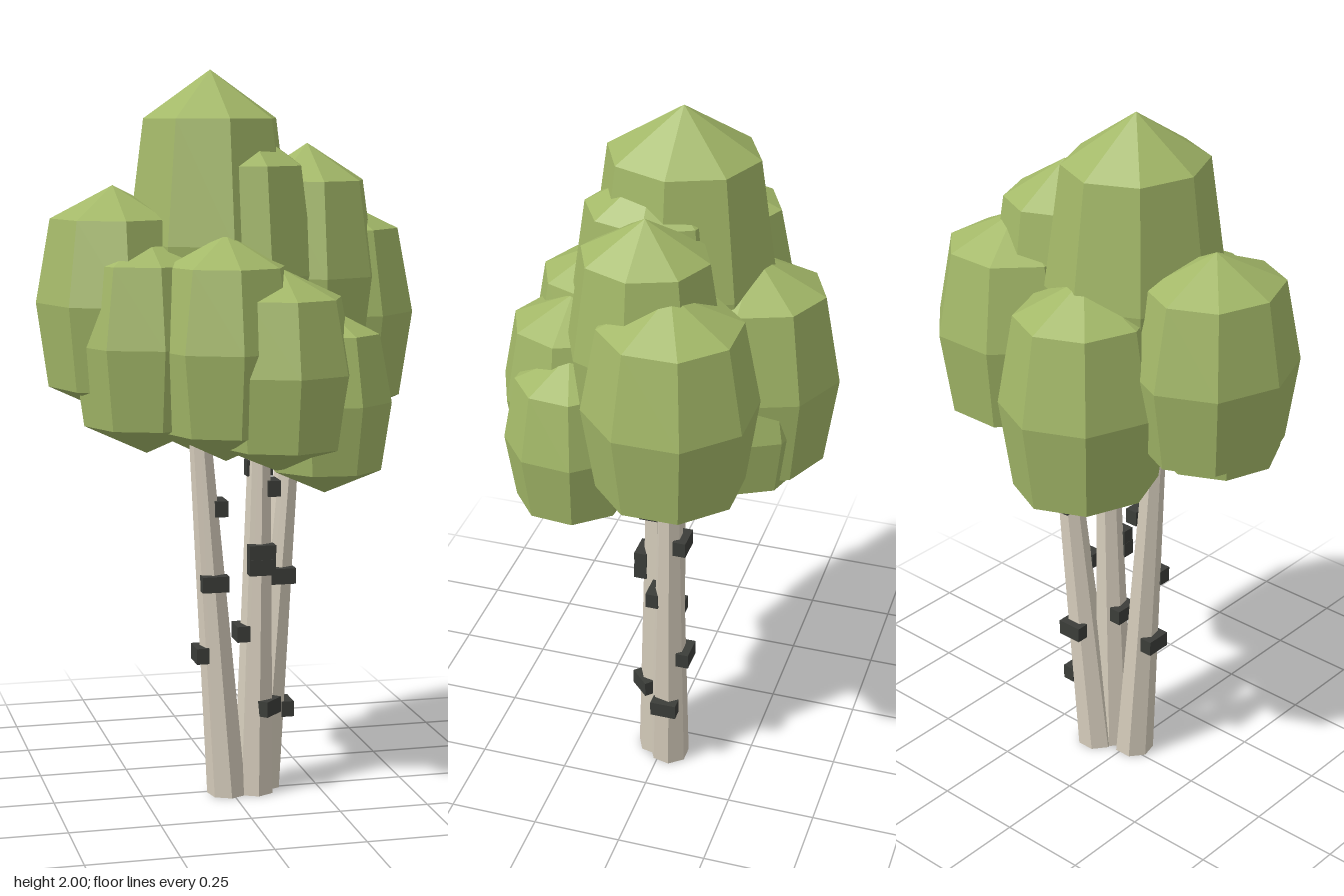
import * as THREE from 'three';

const leafMat = new THREE.MeshStandardMaterial({ color: 0xa3b868, flatShading: true });
const barkMat = new THREE.MeshStandardMaterial({ color: 0xd6cdbc, flatShading: true });
const markMat = new THREE.MeshStandardMaterial({ color: 0x3b3d39, flatShading: true });

// Faceted leaf clump of unit radius and unit half height
const clumpProfile = [[0, -1], [0.85, -0.73], [1, 0], [0.81, 0.72], [0, 1]]
  .map(([r, y]) => new THREE.Vector2(r, y));
const clumpGeo = new THREE.LatheGeometry(clumpProfile, 8);

// Clumps: x, y, z, x radius, half height, z radius, turn
const clumps = [
  [-0.05, 1.54, -0.02, 0.228, 0.46, 0.252, 0.03],  // crown
  [-0.318, 1.385, -0.02, 0.21, 0.31, 0.24, 0],     // right side
  [-0.25, 1.28, 0.085, 0.2, 0.295, 0.205, 0.05],   // right front
  [-0.06, 1.275, 0.205, 0.2, 0.3, 0.205, 0],       // front
  [0.08, 1.215, 0.245, 0.2, 0.27, 0.2, 0],         // front low
  [0.21, 1.13, 0.21, 0.18, 0.25, 0.18, 0.3],       // front lowest
  [0.215, 1.45, 0, 0.195, 0.355, 0.21, 0],         // left upper
  [0.31, 1.34, -0.095, 0.23, 0.32, 0.23, Math.PI / 8], // left side
  [0.03, 1.46, 0.035, 0.2, 0.4, 0.225, 0.1],       // inner front
  [-0.045, 1.27, -0.215, 0.218, 0.34, 0.238, 0],   // back
  [0.02, 1.16, -0.205, 0.175, 0.22, 0.18, 0.1],    // back low
];

// Trunks: foot, tip and bark marks as [height, side x, side z]
const trunks = [
  { foot: [-0.012, 0, 0.02], tip: [-0.1, 1.2, 0.015],
    marks: [[0.405, -1, 0], [0.61, 0, 1], [0.815, 1, 0]] },
  { foot: [0.065, 0, 0.02], tip: [0.085, 1.2, 0.01],
    marks: [[0.25, 0.6, 0.6], [0.46, -1, 0], [0.65, 0, 1], [0.69, 0, 1], [0.865, 1, 0], [0.92, 0, -0.3]] },
  { foot: [0.095, 0, -0.025], tip: [0.2, 1.2, -0.06],
    marks: [[0.225, 1, 0], [0.405, 0, -1], [0.61, 0, 1], [0.815, 0, -1]] },
];
const footRadius = 0.057, tipRadius = 0.027;

// Tapered cylinder sheared so that its ends stay level
function trunkGeometry(foot, tip) {
  const geo = new THREE.CylinderGeometry(tipRadius, footRadius, tip.y, 7);
  geo.translate(0, tip.y / 2, 0);
  const pos = geo.attributes.position;
  for (let i = 0; i < pos.count; i++) {
    const t = pos.getY(i) / tip.y;
    pos.setX(i, pos.getX(i) + THREE.MathUtils.lerp(foot.x, tip.x, t));
    pos.setZ(i, pos.getZ(i) + THREE.MathUtils.lerp(foot.z, tip.z, t));
  }
  geo.computeVertexNormals();
  return geo;
}

export function createModel() {
  const tree = new THREE.Group();
  tree.name = 'tree';

  const foliage = new THREE.Group();
  foliage.name = 'foliage';
  for (const [x, y, z, rx, h, rz, turn] of clumps) {
    const clump = new THREE.Mesh(clumpGeo, leafMat);
    clump.name = 'leafClump';
    clump.position.set(x, y, z);
    clump.scale.set(rx, h, rz);
    clump.rotation.y = turn;
    foliage.add(clump);
  }

  const stems = new THREE.Group();
  stems.name = 'trunks';
  const markGeo = new THREE.BoxGeometry(0.074, 0.044, 0.036);
  for (const { foot, tip, marks } of trunks) {
    const a = new THREE.Vector3(...foot), b = new THREE.Vector3(...tip);
    const trunk = new THREE.Mesh(trunkGeometry(a, b), barkMat);
    trunk.name = 'trunk';
    stems.add(trunk);

    // Dark bark marks set into the side of the trunk
    for (const [y, sx, sz] of marks) {
      const t = y / b.y;
      const r = THREE.MathUtils.lerp(footRadius, tipRadius, t);
      const mark = new THREE.Mesh(markGeo, markMat);
      mark.name = 'barkMark';
      mark.position.lerpVectors(a, b, t);
      mark.position.x += sx * r;
      mark.position.z += sz * r;
      mark.rotation.y = Math.atan2(sx, sz);
      stems.add(mark);
    }
  }

  tree.add(stems, foliage);
  return tree;
}
